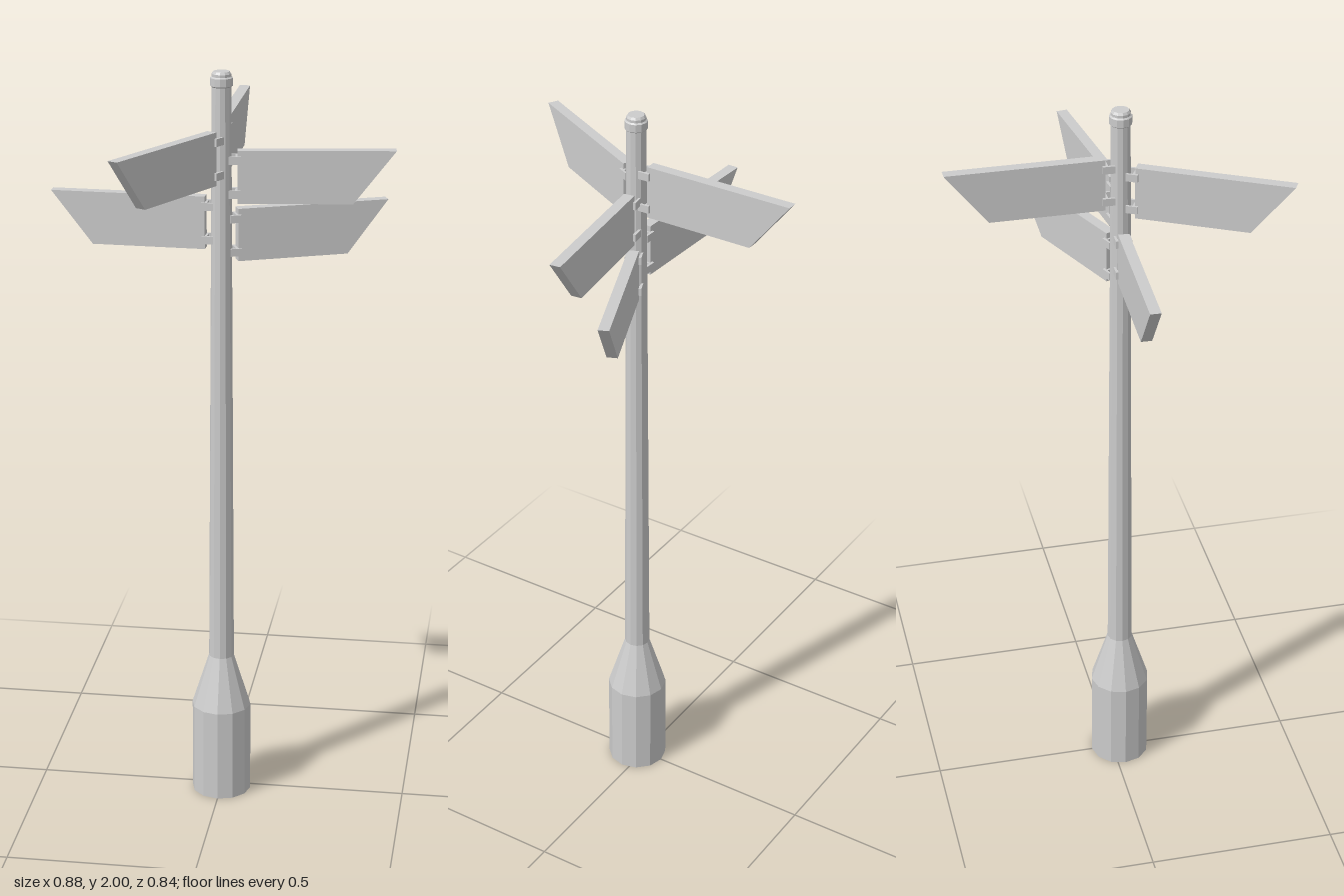
import * as THREE from 'three';

const metal = new THREE.MeshStandardMaterial({ color: 0xcccccc, flatShading: true, side: THREE.DoubleSide });
metal.name = 'grey metal';

function part(name, geometry, parent, x = 0, y = 0, z = 0) {
  const mesh = new THREE.Mesh(geometry, metal);
  mesh.name = name;
  mesh.position.set(x, y, z);
  parent.add(mesh);
  return mesh;
}

function lathe(points) {
  return new THREE.LatheGeometry(points.map(([r, y]) => new THREE.Vector2(r, y)), 12);
}

// Pointed-bottom blade with two clips, running along local +x
function makeSign(bottom, dx, dz) {
  const sign = new THREE.Group();
  sign.name = 'directionSign';
  const height = 0.138, depth = 0.028;
  const outline = new THREE.Shape([[0.041, 0], [0.335, 0], [0.443, height], [0.041, height]]
    .map(([x, y]) => new THREE.Vector2(x, y)));
  const blade = new THREE.ExtrudeGeometry(outline, { depth, bevelEnabled: false });
  part('blade', blade, sign, 0, 0, -depth / 2);
  // Clips holding the blade against the post
  for (const y of [0.025, height - 0.025]) {
    part('clip', new THREE.BoxGeometry(0.014, 0.02, 0.042), sign, 0.042, y, 0);
    for (const side of [-1, 1]) {
      part('clipArm', new THREE.BoxGeometry(0.022, 0.02, 0.006), sign, 0.029, y, side * 0.018);
    }
  }
  sign.position.y = bottom;
  sign.rotation.y = Math.atan2(-dz, dx);
  return sign;
}

export function createModel() {
  const model = new THREE.Group();
  model.name = 'signpost';
  const post = new THREE.Group();
  post.name = 'post';
  post.position.z = 0.021;
  model.add(post);

  // Hollow-bottomed base and tapering pole
  part('base', lathe([[0.08, 0], [0.08, 0.255], [0.034, 0.4]]), post);
  part('pole', lathe([[0.034, 0.4], [0.025, 1.96]]), post);

  // Collar and cap
  part('collar', lathe([[0.024, 1.96], [0.029, 1.964], [0.029, 1.984], [0.024, 1.988]]), post);
  part('cap', lathe([[0.025, 1.955], [0.025, 1.994], [0.021, 2], [0, 2]]), post);

  // Bottom height and heading of each sign
  const signs = [
    [1.736, 0, -1],
    [1.715, -0.207, 0.39],
    [1.662, 0.44, -0.057],
    [1.541, -0.44, -0.016],
    [1.508, 0.41, -0.172],
  ];
  for (const [bottom, dx, dz] of signs) post.add(makeSign(bottom, dx, dz));

  return model;
}
